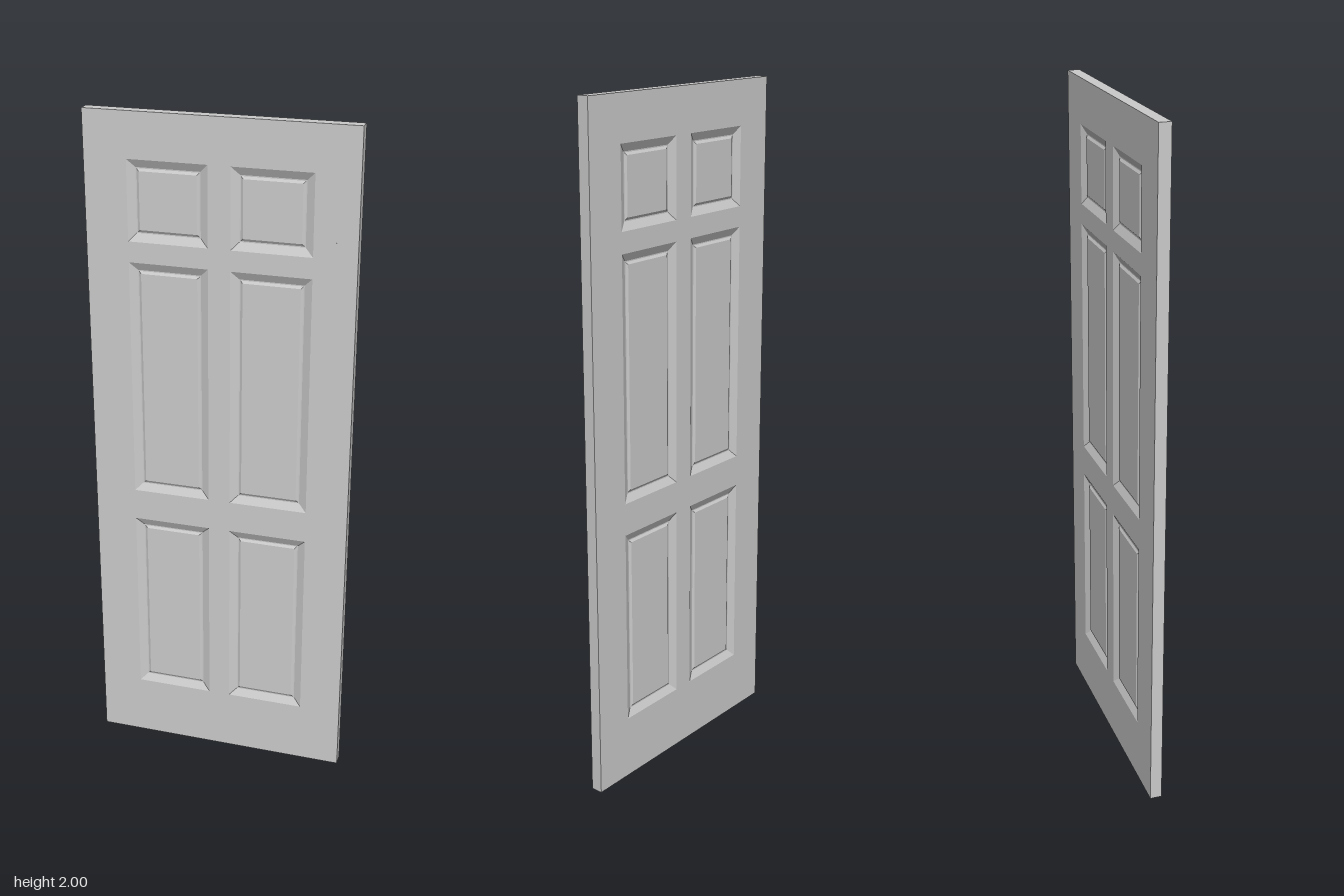
import * as THREE from 'three';

const HALF_W = 0.385, HEIGHT = 2, HALF_T = 0.0175;
const STILE = 0.325;               // inner edge of the outer stiles
const FIELD = 0.262;               // half width of the panelled field
const MUNTIN = 0.032;              // half width of the centre muntin
const RING_TOP = 1.935, RING_BOTTOM = 0.098;
// panel rows as [bottom, top]
const ROWS = [[0.19, 0.775], [0.87, 1.58], [1.64, 1.87]];

const material = new THREE.MeshStandardMaterial({ color: 0xcccccc, flatShading: true });

// Flat board cut to an outline (counter-clockwise corners), full door thickness
function board(name, corners) {
  const shape = new THREE.Shape(corners.map(([x, y]) => new THREE.Vector2(x, y)));
  const geo = new THREE.ExtrudeGeometry(shape, { depth: HALF_T * 2, bevelEnabled: false });
  geo.translate(0, 0, -HALF_T);
  const mesh = new THREE.Mesh(geo, material);
  mesh.name = name;
  return mesh;
}

const rect = (name, x0, x1, y0, y1) => board(name, [[x0, y0], [x1, y0], [x1, y1], [x0, y1]]);

// Panel: sticking slopes into a groove, then rises to a raised field, on both faces
function raisedPanel(name, x0, x1, y0, y1) {
  const profile = [[0, HALF_T], [0.023, 0.0065], [0.026, 0.0065], [0.033, 0.0105]]; // [inset, z]
  const pos = [];
  const ring = ([d, z]) => [[x0 + d, y0 + d, z], [x1 - d, y0 + d, z], [x1 - d, y1 - d, z], [x0 + d, y1 - d, z]];
  const quad = (a, b, c, d) => {
    pos.push(...[a, b, c, a, c, d].flat());
    const m = [a, c, b, a, d, c].map(([x, y, z]) => [x, y, -z]);
    pos.push(...m.flat());
  };
  const rings = profile.map(ring);
  for (let i = 0; i < rings.length - 1; i++) {
    for (let k = 0; k < 4; k++) {
      const n = (k + 1) % 4;
      quad(rings[i][k], rings[i][n], rings[i + 1][n], rings[i + 1][k]);
    }
  }
  quad(...rings[rings.length - 1]);
  const geo = new THREE.BufferGeometry();
  geo.setAttribute('position', new THREE.Float32BufferAttribute(pos, 3));
  geo.computeVertexNormals();
  const mesh = new THREE.Mesh(geo, material);
  mesh.name = name;
  return mesh;
}

export function createModel() {
  const door = new THREE.Group();
  door.name = 'door';
  const low = ROWS[0][0], high = ROWS[2][1];

  // Outer frame
  door.add(
    rect('leftStile', STILE, HALF_W, 0, HEIGHT),
    rect('rightStile', -HALF_W, -STILE, 0, HEIGHT),
    rect('topRail', -STILE, STILE, RING_TOP, HEIGHT),
    rect('bottomRail', -STILE, STILE, 0, RING_BOTTOM),
  );

  // Mitred inner frame
  const outer = [[-STILE, RING_BOTTOM], [STILE, RING_BOTTOM], [STILE, RING_TOP], [-STILE, RING_TOP]];
  const inner = [[-FIELD, low], [FIELD, low], [FIELD, high], [-FIELD, high]];
  ['bottom', 'left', 'top', 'right'].forEach((side, k) => {
    const n = (k + 1) % 4;
    door.add(board(side + 'MitredFrame', [outer[k], outer[n], inner[n], inner[k]]));
  });

  // Cross rails between the rows
  for (let i = 0; i < ROWS.length - 1; i++) {
    door.add(rect('crossRail' + (i + 1), -FIELD, FIELD, ROWS[i][1], ROWS[i + 1][0]));
  }

  // Centre muntins and the pair of panels in each row
  ROWS.forEach(([y0, y1], i) => {
    door.add(
      rect('muntin' + (i + 1), -MUNTIN, MUNTIN, y0, y1),
      raisedPanel('leftPanel' + (i + 1), MUNTIN, FIELD, y0, y1),
      raisedPanel('rightPanel' + (i + 1), -FIELD, -MUNTIN, y0, y1),
    );
  });

  return door;
}
